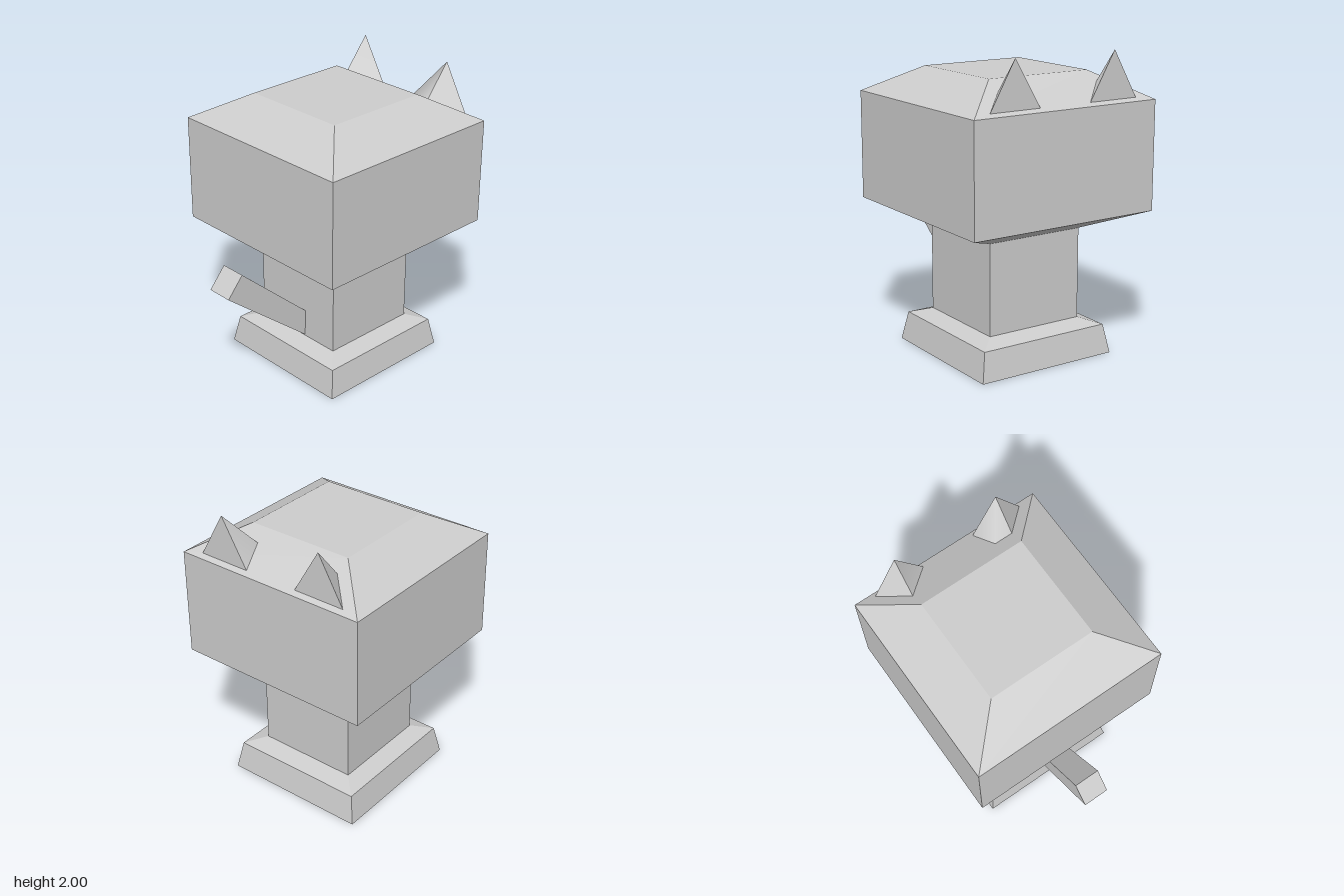
import * as THREE from 'three';

// Builds a faceted geometry from polygons; each polygon keeps its own corners
function polygons(faces) {
  const pos = [], idx = [];
  for (const f of faces) {
    const n = pos.length / 3;
    f.forEach(p => pos.push(...p));
    for (let i = 1; i < f.length - 1; i++) idx.push(n, n + i, n + i + 1);
  }
  const g = new THREE.BufferGeometry();
  g.setAttribute('position', new THREE.Float32BufferAttribute(pos, 3));
  g.setIndex(idx);
  g.computeVertexNormals();
  return g;
}

// Joins successive four-cornered rings, with optional end caps
function loft(rings, capStart, capEnd) {
  const faces = [];
  for (let r = 0; r < rings.length - 1; r++) {
    const a = rings[r], b = rings[r + 1];
    for (let i = 0; i < 4; i++) {
      const j = (i + 1) % 4;
      faces.push([a[i], a[j], b[j], b[i]]);
    }
  }
  if (capStart) faces.push([...rings[0]].reverse());
  if (capEnd) faces.push(rings[rings.length - 1]);
  return polygons(faces);
}

export function createModel() {
  const group = new THREE.Group();
  const grey = new THREE.MeshStandardMaterial({ color: 0xcccccc, side: THREE.DoubleSide });
  grey.name = 'lightGrey';
  const add = (name, geometry) => {
    const mesh = new THREE.Mesh(geometry, grey);
    mesh.name = name;
    group.add(mesh);
  };

  // Square sections of the hollow shell, set back behind the origin
  const cz = -0.165;
  const square = ([y, h]) => [[h, y, cz + h], [h, y, cz - h], [-h, y, cz - h], [-h, y, cz + h]];
  const foot = [0, 0.495], footTop = [0.19, 0.46], neckLow = [0.23, 0.341], neckTop = [0.83, 0.341];

  // Flared foot, open underneath
  add('base', loft([foot, footTop, neckLow].map(square), false, false));
  // Hollow square body
  add('body', loft([neckLow, neckTop].map(square), false, false));
  // Wide head with sloped underside and roof
  add('head', loft([neckTop, [0.965, 0.669], [1.675, 0.669], [1.848, 0.365]].map(square), false, true));

  // Ears on the rear roof slope
  for (const s of [1, -1]) {
    const tip = [s * 0.365, 2, -0.8], front = [s * 0.365, 1.79, -0.63];
    const frontInner = [s * 0.24, 1.79, -0.63];
    const inner = [s * 0.184, 1.693, -0.8], outer = [s * 0.54, 1.693, -0.8];
    const faces = [[tip, front, outer], [tip, inner, frontInner, front], [tip, outer, inner]];
    if (s < 0) faces.forEach(f => f.reverse());
    add(s > 0 ? 'leftEar' : 'rightEar', polygons(faces));
  }

  // Slanted tapering arm, its root just inside the body
  const section = (h, [zb, yb], [zt, yt]) => [[h, yb, zb], [h, yt, zt], [-h, yt, zt], [-h, yb, zb]];
  add('frontArm', loft([
    section(0.073, [0.145, 0.21], [0.06, 0.32]),
    section(0.088, [0.833, 0.778], [0.718, 0.911]),
  ], true, true));

  return group;
}
